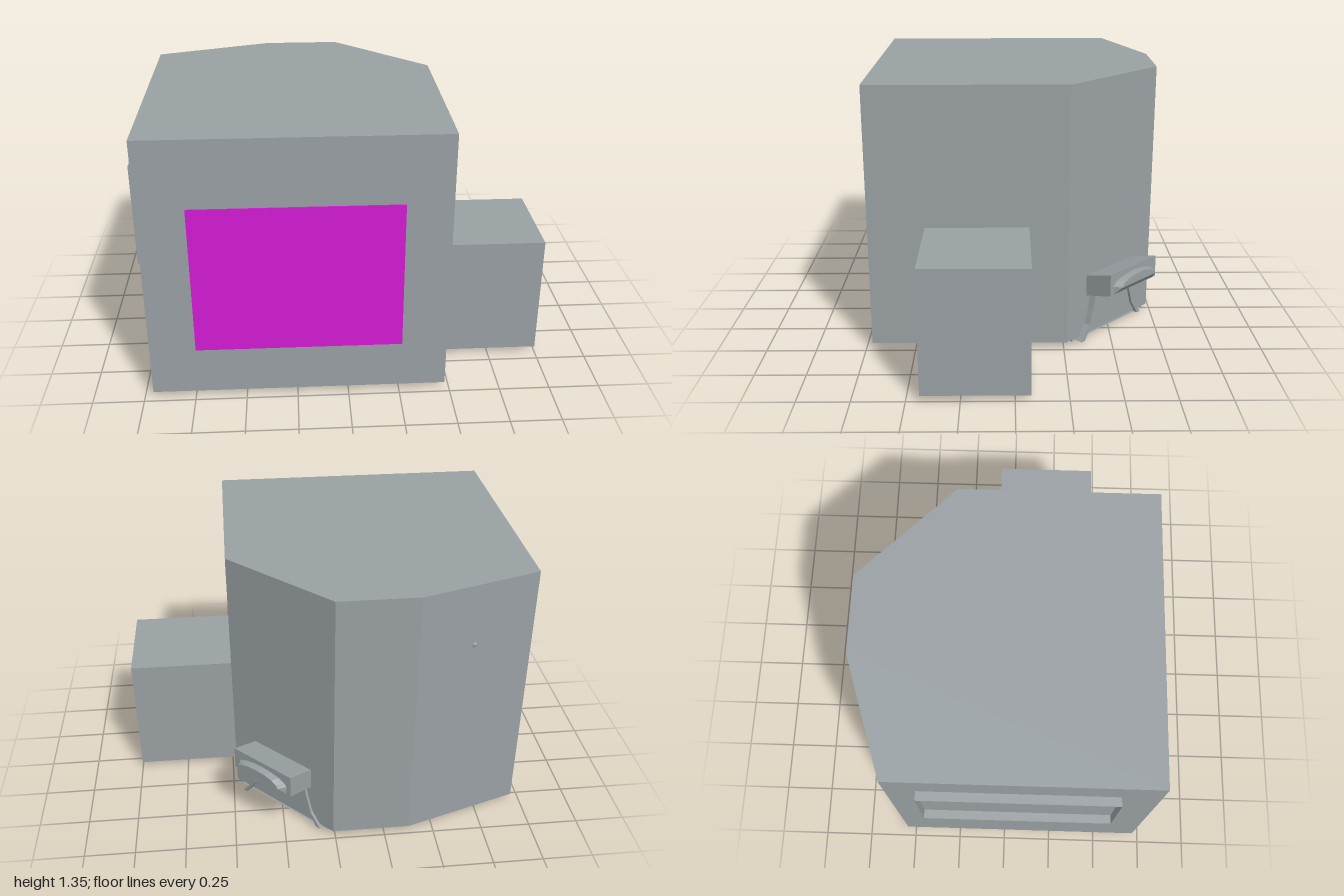
import * as THREE from 'three';

const grey = new THREE.MeshStandardMaterial({ color: 0x99a0a3, flatShading: true });
const thin = new THREE.MeshStandardMaterial({ color: 0x99a0a3, flatShading: true, side: THREE.DoubleSide });
const magenta = new THREE.MeshStandardMaterial({ color: 0xd41cd4 });
const darkRed = new THREE.MeshStandardMaterial({ color: 0x6a1010 });

function add(parent, name, geometry, material, x = 0, y = 0, z = 0) {
  const mesh = new THREE.Mesh(geometry, material);
  mesh.name = name;
  mesh.position.set(x, y, z);
  parent.add(mesh);
  return mesh;
}

function extrude(points, depth) {
  const shape = new THREE.Shape(points.map(([a, b]) => new THREE.Vector2(a, b)));
  return new THREE.ExtrudeGeometry(shape, { depth, bevelEnabled: false });
}

// Small box-shaped spout with a hood and flared apron; local +z points away from the wall
function createSpout() {
  const spout = new THREE.Group();
  spout.name = 'spout';

  // Sloping housing, drawn as a side profile
  const housing = extrude([[-0.01, 0.24], [0.155, 0.285], [0.155, 0.4], [-0.01, 0.35]], 0.37);
  housing.translate(0, 0, -0.185).rotateY(-Math.PI / 2);
  add(spout, 'spoutHousing', housing, grey);

  // Arched hood with a slanting underside, narrowing towards its front
  const arch = [];
  for (let i = 0; i <= 8; i++) {
    const a = (i / 8) * Math.PI;
    arch.push([0.16 * Math.cos(a), 0.045 + 0.045 * Math.sin(a)]);
  }
  const hood = extrude([[-0.16, 0], [0.16, 0], ...arch], 0.04);
  const p = hood.attributes.position;
  for (let i = 0; i < p.count; i++) {
    const z = p.getZ(i);
    p.setX(i, p.getX(i) * (1 - z * 4));
    if (p.getY(i) < 0.001) p.setY(i, z * 1.1);
  }
  hood.computeVertexNormals();
  add(spout, 'spoutHood', hood, grey, 0, 0.285, 0.153);

  // Flaring ribs running down the wall
  for (const s of [-1, 1]) {
    const pts = [[0.13, 0.25], [0.15, 0.25], [0.17, 0.17], [0.195, 0.09], [0.255, 0.015],
      [0.23, 0.015], [0.18, 0.09], [0.155, 0.17]];
    const rib = extrude(pts.map(([x, y]) => [s * x, y]), s < 0 ? 0.045 : 0.025);
    add(spout, 'apronRib', rib, grey, 0, 0, -0.01);
  }

  // Shallow half-round foot reaching under the body, lowest at its inner end
  const foot = new THREE.CylinderGeometry(1, 1, 0.03, 12, 1, false, Math.PI / 2, Math.PI);
  foot.scale(0.29, 1, 0.3).translate(0, 0.017, 0);
  const f = foot.attributes.position;
  for (let i = 0; i < f.count; i++) {
    if (f.getY(i) < 0.01) f.setY(i, 0.02 + f.getZ(i) * 0.066);
  }
  foot.computeVertexNormals();
  add(spout, 'apronFoot', foot, thin);
  return spout;
}

export function createModel() {
  const model = new THREE.Group();

  // Main body: prism with chamfered back corners (plan as x, -z)
  const plan = [[-0.957, -0.718], [0.478, -0.718], [0.478, 0.265], [0.01, 0.732], [-0.375, 0.732], [-0.957, 0.543]];
  add(model, 'body', extrude(plan, 1.325).rotateX(-Math.PI / 2), grey, 0, 0.03, 0);

  // Coloured front panel
  add(model, 'frontPanel', new THREE.BoxGeometry(0.995, 0.75, 0.008), magenta, -0.238, 0.645, 0.719);

  // Block on the left side
  add(model, 'sideBlock', new THREE.BoxGeometry(0.525, 0.62, 0.51), grey, 0.737, 0.34, 0.182);

  // Thin open frame on the right side
  const frame = new THREE.Group();
  frame.name = 'sideFrame';
  model.add(frame);
  for (const s of [-1, 1]) {
    const rail = new THREE.PlaneGeometry(0.043, 0.935).rotateX(-Math.PI / 2);
    add(frame, 'frameRail', rail, thin, -0.9785, 0.903 + s * 0.255, 0.0675);
    add(frame, 'framePost', new THREE.PlaneGeometry(0.043, 0.51), thin, -0.9785, 0.903, 0.0675 + s * 0.4675);
  }

  // Small button and stud
  add(model, 'button', new THREE.SphereGeometry(0.022, 10, 8), darkRed, -0.955, 0.44, -0.32).scale.x = 0.6;
  add(model, 'stud', new THREE.SphereGeometry(0.015, 8, 6), grey, -0.65, 1.04, -0.635);

  // Spout on the back chamfer
  const spout = createSpout();
  spout.position.set(0.244, 0, -0.4985);
  spout.rotation.y = Math.PI * 0.75;
  model.add(spout);

  return model;
}
